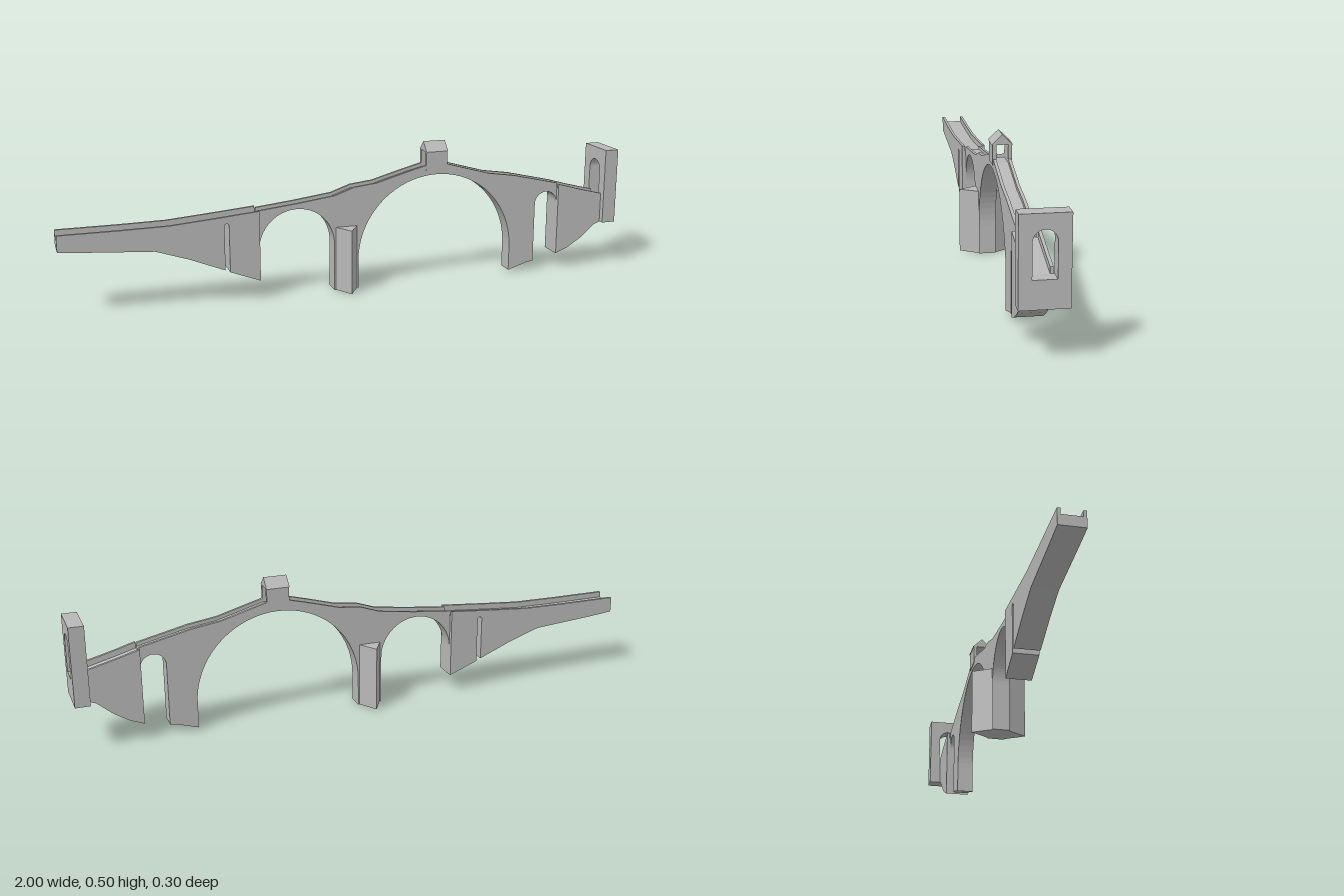
import * as THREE from 'three';

export function createModel() {
  const root = new THREE.Group();
  root.name = 'bridge';
  const stone = new THREE.MeshStandardMaterial({ color: 0xb8b8b8 });
  stone.name = 'grey stone';

  // The whole bridge runs slightly askew.
  const bridge = new THREE.Group();
  bridge.name = 'bridgeSpan';
  bridge.rotation.y = 0.0873;
  bridge.position.z = 0.02;
  root.add(bridge);

  const extrude = (shape, depth, name, z = 0) => {
    const geo = new THREE.ExtrudeGeometry(shape, { depth, bevelEnabled: false, curveSegments: 20 });
    geo.translate(0, 0, -depth / 2);
    const mesh = new THREE.Mesh(geo, stone);
    mesh.name = name;
    mesh.position.z = z;
    bridge.add(mesh);
    return mesh;
  };

  // One section: top profile (left to right), underside drawn by a callback
  // (right to left), and a parapet along each edge of the deck.
  const section = (name, top, width, wallHeight, underside) => {
    const body = new THREE.Shape();
    top.forEach(([x, y], i) => (i ? body.lineTo(x, y - wallHeight) : body.moveTo(x, y - wallHeight)));
    underside(body);
    body.closePath();
    extrude(body, width, name + 'Body');

    const strip = [...top, ...top.map(([x, y]) => [x, y - wallHeight]).reverse()];
    const wall = new THREE.Shape(strip.map(([x, y]) => new THREE.Vector2(x, y)));
    for (const side of [-1, 1]) {
      extrude(wall, 0.01, name + 'Parapet', side * (width / 2 - 0.005));
    }
  };

  // Left approach with a narrow arched slit
  section('leftApproach',
    [[-1, 0.28], [-0.8, 0.28], [-0.64, 0.282], [-0.5, 0.293], [-0.338, 0.307]],
    0.085, 0.02, (s) => {
      s.lineTo(-0.338, 0.065);
      s.lineTo(-0.442, 0.105);
      s.lineTo(-0.442, 0.265);
      s.absarc(-0.45, 0.265, 0.008, 0, Math.PI, false);
      s.lineTo(-0.458, 0.113);
      s.lineTo(-0.58, 0.163);
      s.lineTo(-0.69, 0.2);
      s.lineTo(-0.85, 0.212);
      s.lineTo(-0.95, 0.22);
      s.lineTo(-1, 0.225);
    });

  // Narrow central span: three arches and two piers
  section('centralSpan',
    [[-0.338, 0.305], [-0.2, 0.32], [-0.07, 0.337], [0, 0.361], [0.08, 0.37],
      [0.18, 0.398], [0.265, 0.42], [0.34, 0.42], [0.5, 0.375], [0.6, 0.36], [0.773, 0.32]],
    0.058, 0.012, (s) => {
      s.lineTo(0.773, 0.248);
      s.absarc(0.73, 0.248, 0.043, 0, Math.PI, false);
      s.lineTo(0.687, 0.035);
      s.lineTo(0.66, 0.03);
      s.lineTo(0.59, 0.008);
      s.lineTo(0.59, 0.05);
      s.absellipse(0.302, 0.1, 0.288, 0.286, 0, Math.PI, false, 0);
      s.lineTo(0.014, 0);
      s.lineTo(-0.073, 0);
      s.lineTo(-0.073, 0.168);
      s.absellipse(-0.2055, 0.168, 0.1325, 0.133, 0, Math.PI, false, 0);
    });

  // Right approach rising to the gate tower
  section('rightApproach',
    [[0.773, 0.318], [0.85, 0.296], [0.95, 0.27]],
    0.085, 0.02, (s) => {
      s.lineTo(0.95, 0.165);
      s.lineTo(0.925, 0.155);
      s.lineTo(0.87, 0.108);
      s.lineTo(0.82, 0.077);
      s.lineTo(0.773, 0.058);
    });

  // Pointed cutwaters on both faces of the middle pier
  for (const side of [-1, 1]) {
    const plan = new THREE.Shape();
    plan.moveTo(-0.068, -side * 0.028);
    plan.lineTo(0.009, -side * 0.028);
    plan.lineTo(-0.03, -side * 0.092);
    plan.closePath();
    const geo = new THREE.ExtrudeGeometry(plan, { depth: 0.225, bevelEnabled: false });
    geo.rotateX(-Math.PI / 2);
    const mesh = new THREE.Mesh(geo, stone);
    mesh.name = 'cutwater';
    bridge.add(mesh);
  }

  // Small gatehouse at the crown: two walls and a gabled roof
  for (const side of [-1, 1]) {
    const wall = new THREE.Mesh(new THREE.BoxGeometry(0.078, 0.067, 0.012), stone);
    wall.name = 'gatehouseWall';
    wall.position.set(0.301, 0.4345, side * 0.025);
    bridge.add(wall);
  }
  const gable = new THREE.Shape();
  gable.moveTo(-0.034, 0.467);
  gable.lineTo(0.034, 0.467);
  gable.lineTo(0, 0.5);
  gable.closePath();
  const roof = extrude(gable, 0.08, 'gatehouseRoof');
  roof.rotation.y = Math.PI / 2;
  roof.position.x = 0.301;

  // End tower with an arched passage
  const front = new THREE.Shape();
  front.moveTo(-0.073, 0.165);
  front.lineTo(0.073, 0.165);
  front.lineTo(0.073, 0.435);
  front.lineTo(-0.073, 0.435);
  front.closePath();
  const passage = new THREE.Path();
  passage.moveTo(-0.035, 0.25);
  passage.lineTo(0.035, 0.25);
  passage.lineTo(0.035, 0.355);
  passage.absarc(0, 0.355, 0.035, 0, Math.PI, false);
  passage.closePath();
  front.holes.push(passage);
  const tower = extrude(front, 0.05, 'endTower', -0.01);
  tower.rotation.y = Math.PI / 2;
  tower.position.x = 0.972;

  return root;
}
